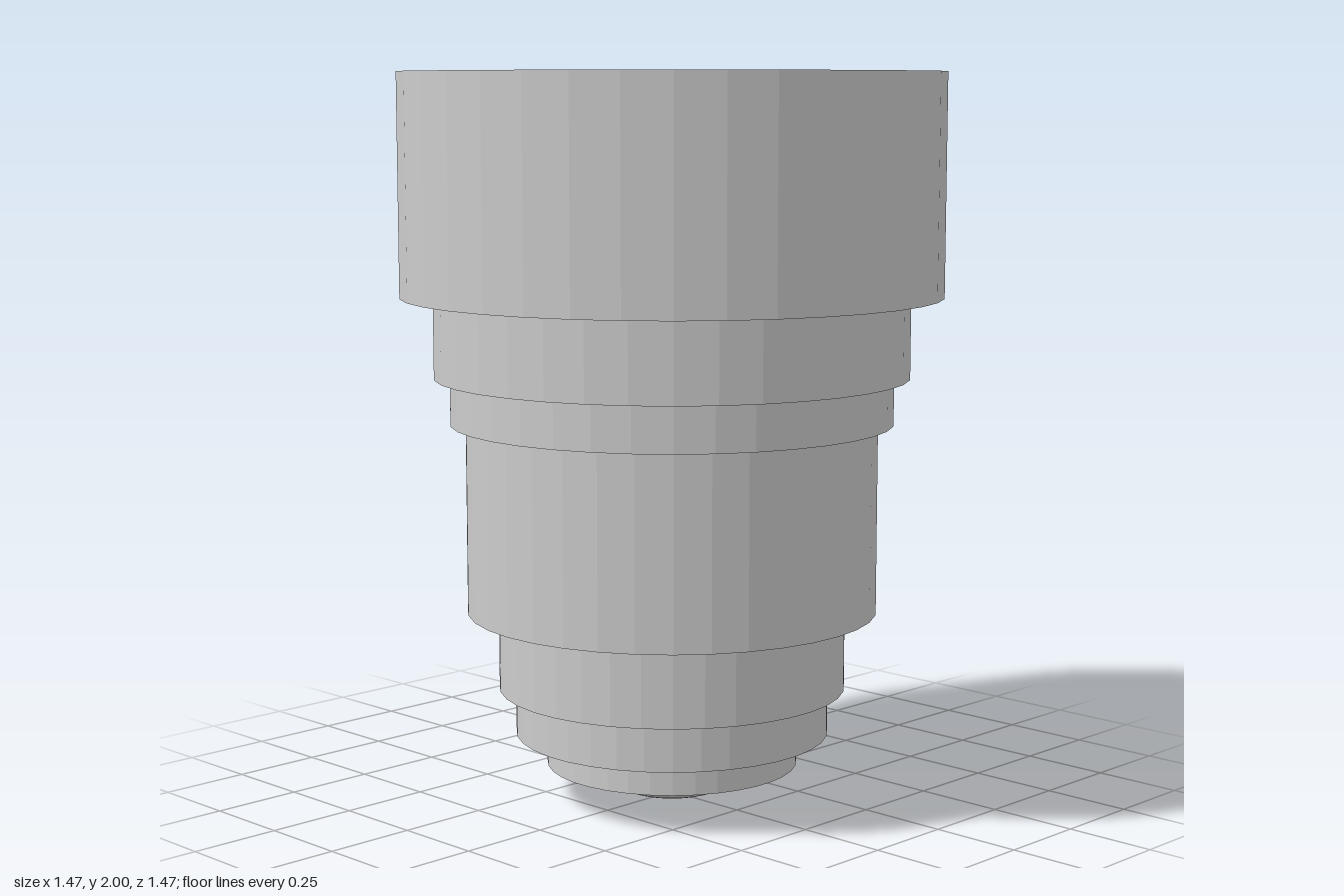
import * as THREE from 'three';

const SIDES = 36;

// Stacked barrel sections: name, radius, bottom y, top y
const SECTIONS = [
  ['mountCylinder', 0.74, 1.397, 2.0],
  ['upperCollar', 0.651, 1.177, 1.397],
  ['upperRing', 0.608, 1.05, 1.177],
  ['mainBarrel', 0.566, 0.527, 1.05],
  ['lowerCollar', 0.48, 0.309, 0.527],
  ['lowerRing', 0.434, 0.18, 0.309],
  ['lensHolder', 0.348, 0.092, 0.18],
];

export function createModel() {
  const group = new THREE.Group();
  group.name = 'steppedLensBarrel';
  const flat = new THREE.MeshStandardMaterial({ color: 0xcccccc, flatShading: true });
  const smooth = new THREE.MeshStandardMaterial({ color: 0xcccccc });

  for (const [name, radius, bottom, top] of SECTIONS) {
    const geometry = new THREE.CylinderGeometry(radius, radius, top - bottom, SIDES);
    geometry.rotateY(Math.PI / SIDES); // flats face the four axes
    const section = new THREE.Mesh(geometry, flat);
    section.name = name;
    section.position.y = (bottom + top) / 2;
    group.add(section);
  }

  // Shallow domed lens bulging from the underside
  const dome = new THREE.SphereGeometry(0.217, SIDES, 12, 0, Math.PI * 2, Math.PI / 2, Math.PI / 2);
  dome.scale(1, 0.092 / 0.217, 1);
  const lens = new THREE.Mesh(dome, smooth);
  lens.name = 'lens';
  lens.position.y = 0.092;
  group.add(lens);

  return group;
}
